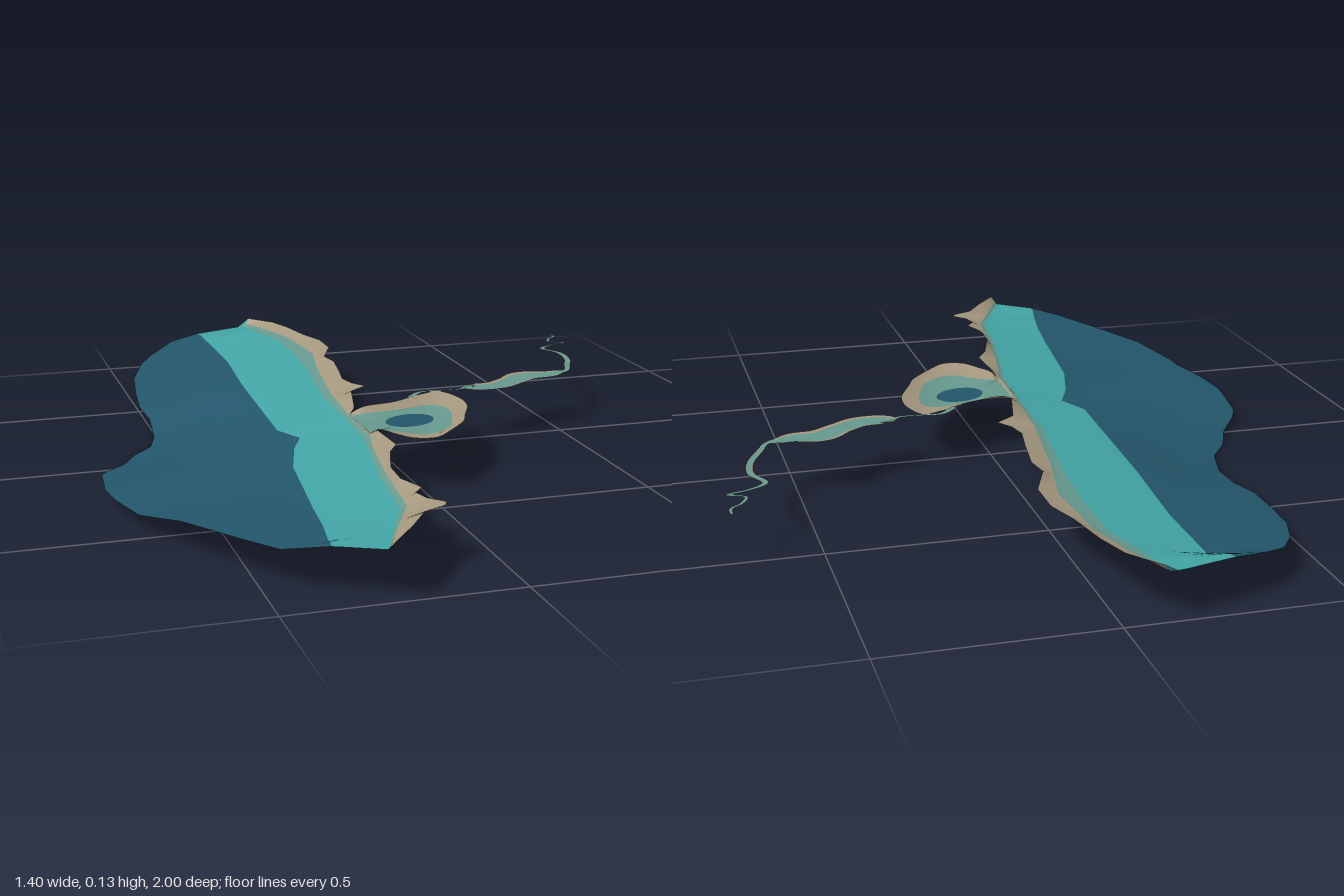
import * as THREE from 'three';

const mat = (name, color) => {
  const m = new THREE.MeshStandardMaterial({ color, side: THREE.DoubleSide });
  m.name = name;
  return m;
};

// Linear lookup in a list of [key, value] pairs
function lookup(pairs, k) {
  if (k <= pairs[0][0]) return pairs[0][1];
  for (let i = 1; i < pairs.length; i++) {
    const [k0, v0] = pairs[i - 1], [k1, v1] = pairs[i];
    if (k <= k1) return k1 > k0 ? v0 + (v1 - v0) * (k - k0) / (k1 - k0) : v1;
  }
  return pairs[pairs.length - 1][1];
}

// Smooth sheet through rows of points; bands = [number of columns, material]
function sheet(name, rows, bands) {
  const cols = rows[0].length, index = [], materials = [];
  const g = new THREE.BufferGeometry();
  g.setAttribute('position', new THREE.Float32BufferAttribute(rows.flat(2), 3));
  let j = 0;
  for (const [count, material] of bands) {
    const start = index.length;
    for (const end = j + count; j < end; j++) {
      for (let i = 0; i < rows.length - 1; i++) {
        const a = i * cols + j, c = a + cols;
        index.push(a, c, a + 1, a + 1, c, c + 1);
      }
    }
    g.addGroup(start, index.length - start, materials.length);
    materials.push(material);
  }
  g.setIndex(index);
  g.computeVertexNormals();
  const mesh = new THREE.Mesh(g, materials);
  mesh.name = name;
  return mesh;
}

// Outlines of the sea floor as [z, x], and the depth of its outer edge as [z, y]
const WEST = [[-1, -.08], [-.95, -.25], [-.92, -.33], [-.865, -.395], [-.795, -.44], [-.69, -.48],
  [-.58, -.495], [-.46, -.505], [-.37, -.495], [-.25, -.505], [-.16, -.53], [-.095, -.58], [-.015, -.615],
  [.06, -.67], [.1, -.69], [.25, -.705], [.345, -.695], [.49, -.66], [.61, -.605], [.78, -.515],
  [.875, -.46], [.93, -.38], [1, -.27]];
const WEST_Y = [[-1, .12], [-.95, .1], [-.87, .07], [-.66, .04], [-.45, .022], [-.26, 0], [-.12, .003],
  [0, .01], [.2, .033], [.46, .04], [.61, .068], [.87, .082], [1, .12]];
const DEEP = [[-1, -.27], [-.95, -.25], [-.87, -.22], [-.66, -.22], [-.4, -.24], [.05, -.26], [.13, -.225],
  [.21, -.26], [.35, -.3], [.56, -.325], [.77, -.35], [.94, -.38], [1, -.39]];
const TEAL = [[-1, -.1], [-.9, -.08], [-.77, -.045], [-.6, -.045], [-.4, -.06], [-.13, -.095], [.06, -.1],
  [.27, -.11], [.56, -.165], [.77, -.19], [.98, -.28], [1, -.29]];
const SHELF = [[-1, -.09], [-.88, -.045], [-.77, -.015], [-.56, -.002], [-.4, -.035], [-.13, -.075],
  [.06, -.088], [.27, -.095], [.35, -.115], [.56, -.15], [.77, -.175], [.98, -.275], [1, -.28]];
const SHORE = [[-1, -.08], [-.93, -.025], [-.85, 0], [-.74, .02], [-.66, .045], [-.56, .045], [-.5, .02],
  [-.46, .003], [-.4, .012], [-.29, -.005], [-.21, -.02], [-.16, -.01], [-.12, .015], [-.08, -.035],
  [0, -.055], [.06, -.07], [.08, -.085], [.25, -.085], [.28, -.08], [.4, -.075], [.45, -.105], [.56, -.14],
  [.64, -.145], [.71, -.122], [.74, -.145], [.78, -.135], [.81, -.107], [.835, -.112], [.855, -.165],
  [.93, -.215], [1, -.27]];
const SHORE_Y = [[.05, .125], [.09, .108], [.24, .108], [.28, .125]];

// One cross-section of the sea floor, from the deep edge to the shore
function seaRow(z) {
  const west = lookup(WEST, z), yw = lookup(WEST_Y, z);
  const [b1, b2, b3, shore] = [DEEP, TEAL, SHELF, SHORE].map(t => lookup(t, z));
  const y1 = Math.max(.078, Math.min(.1, yw + .008));
  const slope = [[b1, y1], [b2, .104], [b3, .11], [shore, lookup(SHORE_Y, z)]];
  if (west < b1) {
    slope.unshift([west, yw], [west + (b1 - west) * .45, yw + (y1 - yw) * .38]);
  }
  const edges = [west, b1, b2, b3, shore].map(x => Math.max(x, west));
  const steps = [6, 4, 2, 2], row = [];
  steps.forEach((n, k) => {
    for (let s = k ? 1 : 0; s <= n; s++) {
      const x = edges[k] + (edges[k + 1] - edges[k]) * s / n;
      row.push([x, lookup(slope, x), z]);
    }
  });
  return row;
}

// Lagoon outlines as [x, z]; the first and the last two points lie at the mouth
const BAY_SHORE = [[-.09, .08], [-.05, .07], [.03, .05], [.085, .02], [.13, -.005], [.175, -.015], [.2, .055],
  [.195, .13], [.16, .21], [.135, .265], [.08, .33], [.03, .375], [-.02, .365], [-.05, .32], [-.075, .27],
  [-.09, .25], [-.1, .165]];
const BAY_SHELF = [[-.09, .09], [-.05, .09], [.03, .08], [.08, .07], [.11, .06], [.135, .07], [.15, .09],
  [.15, .14], [.13, .2], [.11, .25], [.07, .29], [.03, .305], [0, .29], [-.03, .26], [-.07, .24],
  [-.09, .235], [-.1, .165]];

function bayRings() {
  const loop = (pts, y, mouthY) => new THREE.CatmullRomCurve3(pts.map(([x, z], i) =>
    new THREE.Vector3(x, i === 0 || i > 14 ? mouthY : y, z)), true, 'catmullrom', .5);
  const outer = loop(BAY_SHORE, .125, .107), shelf = loop(BAY_SHELF, .113, .107);
  const cx = .038, cz = .16, rings = [[], [], [], [], []];
  for (let i = 0; i <= 96; i++) {
    const p = outer.getPoint(i / 96 % 1), q = shelf.getPoint(i / 96 % 1);
    const a = Math.atan2(q.z - cz, q.x - cx);
    // Hollow in the middle, tilted slightly
    const r = new THREE.Vector3(cx + .062 * Math.cos(a), .107, cz + .052 * Math.sin(a) - .012 * Math.cos(a));
    const m = q.clone().lerp(r, .5);
    [p, q, m, r, new THREE.Vector3(cx, .105, cz)].forEach((v, k) => rings[k].push(v.toArray()));
  }
  return rings;
}

// Creek centre line as [x, z, half width]
const CREEK = [[.085, .02, .008], [.13, -.022, .007], [.18, -.02, .005], [.235, -.02, .006], [.257, -.045, .006],
  [.268, -.03, .03], [.33, -.028, .036], [.385, -.06, .036], [.44, -.1, .042], [.5, -.098, .032],
  [.535, -.11, .02], [.565, -.12, .008], [.59, -.17, .008], [.62, -.24, .008], [.627, -.31, .008],
  [.604, -.37, .007], [.64, -.4, .005], [.69, -.42, .005], [.655, -.44, .004], [.668, -.475, .004],
  [.693, -.5, .004], [.695, -.53, .003]];

function creekRows() {
  const path = new THREE.CatmullRomCurve3(CREEK.map(([x, z, w]) => new THREE.Vector3(x, w, z)));
  const rows = [];
  for (let i = 0; i <= 200; i++) {
    const p = path.getPoint(i / 200), t = path.getTangent(i / 200);
    const l = Math.hypot(t.x, t.z) || 1;
    rows.push([-1, -.7, 0, .7, 1].map(s => [
      p.x + t.z / l * p.y * s, .125 - .1 * p.y * (1 - s * s), p.z - t.x / l * p.y * s]));
  }
  return rows;
}

export function createModel() {
  const deep = mat('deep water blue', 0x23566b);
  const teal = mat('mid water teal', 0x43a5a5);
  const shallow = mat('shallow grey teal', 0x66998f);
  const sand = mat('shore sand', 0xa5987f);

  const group = new THREE.Group();
  group.name = 'seabedRelief';

  // Open sea floor
  const rows = [];
  for (let i = 0; i <= 200; i++) rows.push(seaRow(-1 + i / 100));
  group.add(sheet('seaFloor', rows, [[6, deep], [4, teal], [2, shallow], [2, sand]]));

  // Side lagoon: rings turned into columns so that the bands run around it
  const rings = bayRings();
  const spokes = rings[0].map((_, i) => rings.map(r => r[i]).reverse());
  group.add(sheet('lagoon', spokes, [[1, deep], [2, shallow], [1, sand]]));

  // Creek with its pool
  group.add(sheet('creek', creekRows(), [[1, sand], [2, shallow], [1, sand]]));
  return group;
}
